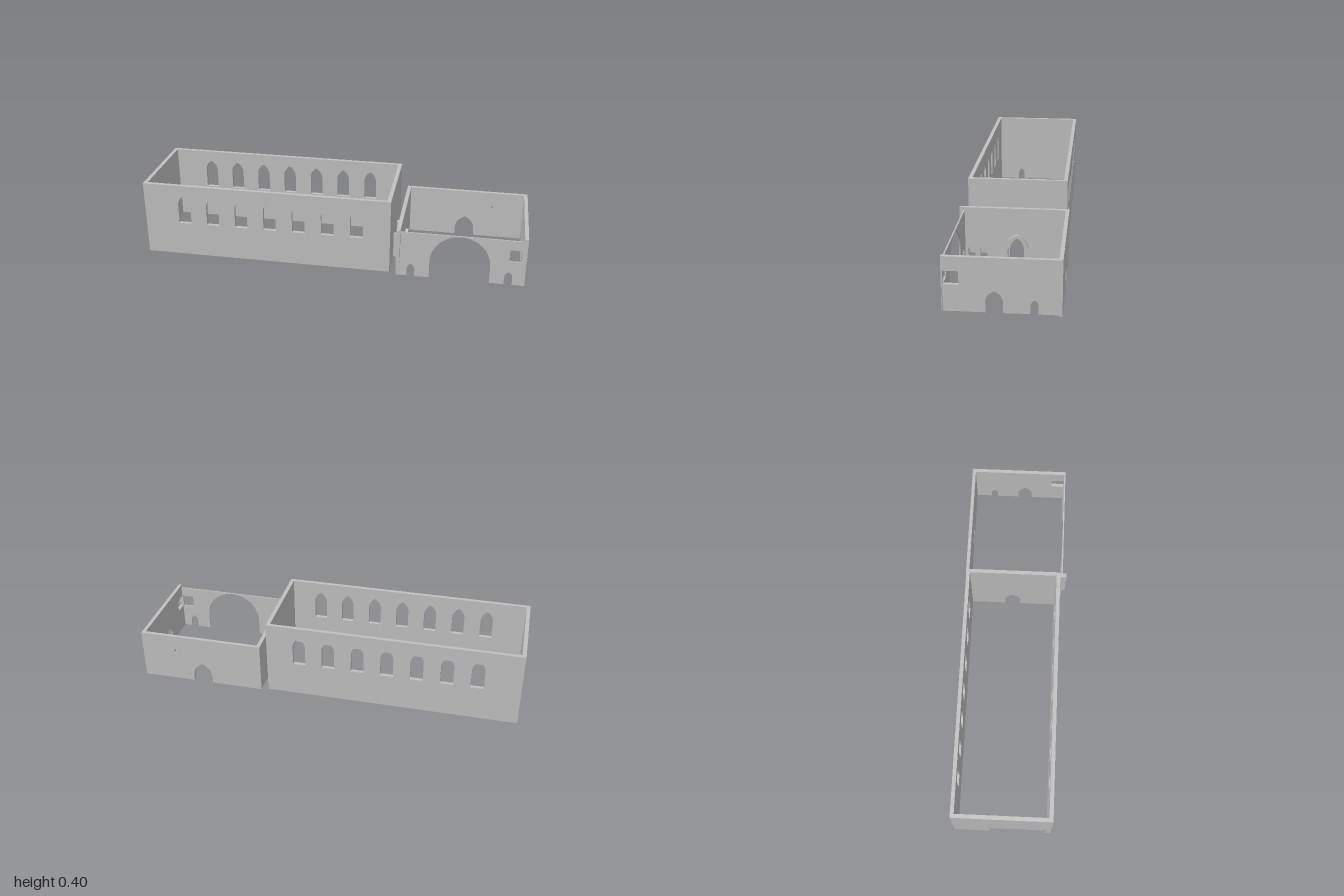
import * as THREE from 'three';

// Arch opening from two circular arcs: pointed when the rise exceeds w, round when equal
function arch(c, w, y0, spring, top) {
  const h = top - spring, R = (h * h + w * w) / (2 * w), n = 10;
  const end = Math.atan2(h, R - w), pts = [[c - w, y0]];
  for (let i = 0; i <= n; i++) {
    const a = end * i / n;
    pts.push([c - w + R - R * Math.cos(a), spring + R * Math.sin(a)]);
  }
  for (let i = n - 1; i >= 0; i--) {
    const a = end * i / n;
    pts.push([c + w - R + R * Math.cos(a), spring + R * Math.sin(a)]);
  }
  pts.push([c + w, y0]);
  return pts;
}

const rect = (a, b, y0, y1) => [[a, y0], [a, y1], [b, y1], [b, y0]];
const toVec = pts => pts.map(p => new THREE.Vector2(p[0], p[1]));

// Wall plate: doors are notches in the lower edge (in rising order), windows are holes
function plate(a, b, y0, y1, depth, doors = [], windows = []) {
  const shape = new THREE.Shape(toVec([[a, y0], ...doors.flat(), [b, y0], [b, y1], [a, y1]]));
  for (const w of windows) shape.holes.push(new THREE.Path(toVec(w)));
  return new THREE.ExtrudeGeometry(shape, { depth, bevelEnabled: false });
}

export function createModel() {
  const model = new THREE.Group();
  const stone = new THREE.MeshStandardMaterial({ color: 0xc0c0c0 });
  stone.name = 'grey stone';

  function add(parent, name, geometry) {
    const mesh = new THREE.Mesh(geometry, stone);
    mesh.name = name;
    parent.add(mesh);
    return mesh;
  }
  // Wall along x, filling z0..z1
  function wallX(parent, name, x0, x1, z0, z1, y0, y1, doors, windows) {
    add(parent, name, plate(x0, x1, y0, y1, z1 - z0, doors, windows)).position.z = z0;
  }
  // Wall along z, filling x0..x1; openings are given in u = -z
  function wallZ(parent, name, x0, x1, z0, z1, y0, y1, doors, windows) {
    const mesh = add(parent, name, plate(-z1, -z0, y0, y1, x1 - x0, doors, windows));
    mesh.rotation.y = Math.PI / 2;
    mesh.position.x = x0;
  }

  // Long hall with seven pointed windows on each side
  const hall = new THREE.Group();
  hall.name = 'hall';
  model.add(hall);
  const hallWindows = [];
  for (let i = 0; i < 7; i++) hallWindows.push(arch(-0.782 + i * 0.153, 0.033, 0.184, 0.285, 0.343));
  wallX(hall, 'hallFrontWall', -0.98, 0.29, 0.217, 0.237, 0, 0.4, [], hallWindows);
  wallX(hall, 'hallBackWall', -0.98, 0.29, -0.262, -0.243, 0, 0.4, [], hallWindows);
  wallZ(hall, 'hallRightWall', 0.29, 0.31, -0.262, 0.237, 0, 0.4, [arch(0.015, 0.042, 0, 0.05, 0.115)]);
  // End wall with a niche closed by a thin panel
  wallZ(hall, 'hallLeftWall', -1, -0.98, -0.262, 0.237, 0, 0.4, [rect(-0.21, 0.077, 0, 0.115)]);
  wallZ(hall, 'hallNichePanel', -0.987, -0.98, -0.077, 0.21, 0, 0.115, [arch(-0.085, 0.018, 0, 0.035, 0.067)]);

  // Passage joining the two buildings
  const passage = new THREE.Group();
  passage.name = 'passage';
  model.add(passage);
  for (const z of [-0.1, 0.05]) wallX(passage, 'passageWall', 0.31, 0.345, z, z + 0.018, 0, 0.135);

  // Lower court
  const court = new THREE.Group();
  court.name = 'court';
  model.add(court);
  wallX(court, 'courtBackWall', 0.365, 0.981, -0.275, -0.257, 0, 0.265,
    [arch(0.67, 0.052, 0, 0.035, 0.11)], [rect(0.811, 0.82, 0.165, 0.185)]);
  // Thin front screen with a wide round arch and two small doors
  wallX(court, 'courtFrontWall', 0.365, 0.981, 0.249, 0.256, 0, 0.25,
    [arch(0.422, 0.02, 0, 0.04, 0.07), arch(0.67, 0.153, 0, 0.094, 0.247), arch(0.917, 0.02, 0, 0.04, 0.07)],
    [rect(0.915, 0.976, 0.133, 0.197)]);
  // Right wall, its lower part set back as a thin panel with two doors
  wallZ(court, 'courtRightWall', 0.981, 1, -0.275, 0.258, 0, 0.265,
    [rect(-0.255, 0.256, 0, 0.116)], [rect(-0.25, -0.18, 0.133, 0.197)]);
  wallZ(court, 'courtRightPanel', 0.981, 0.988, -0.256, 0.255, 0, 0.116,
    [arch(-0.026, 0.039, 0, 0.05, 0.102), arch(0.152, 0.018, 0, 0.038, 0.067)]);
  // Left wall with portal opening, side doors and an overhanging end
  wallZ(court, 'courtLeftWall', 0.345, 0.365, -0.275, 0.258, 0, 0.265,
    [arch(-0.215, 0.018, 0, 0.04, 0.07), arch(-0.155, 0.018, 0, 0.04, 0.07), arch(0.015, 0.035, 0, 0.05, 0.108)]);
  wallZ(court, 'courtWallOverhang', 0.345, 0.365, 0.258, 0.276, 0.083, 0.265);

  // Portal of stepped arches around the passage door
  const portal = new THREE.Group();
  portal.name = 'portal';
  model.add(portal);
  for (let i = 0; i < 3; i++) {
    const w = 0.042 + i * 0.007, inner = w - 0.007;
    const outline = [...arch(0.015, w, 0, 0.05, 0.115 + i * 0.007),
      ...arch(0.015, inner, 0, 0.05, 0.108 + i * 0.007).reverse()];
    const ring = add(portal, 'portalArch', new THREE.ExtrudeGeometry(new THREE.Shape(toVec(outline)),
      { depth: 0.005 * (i + 1), bevelEnabled: false }));
    ring.rotation.y = Math.PI / 2;
    ring.position.x = 0.365;
  }
  return model;
}
